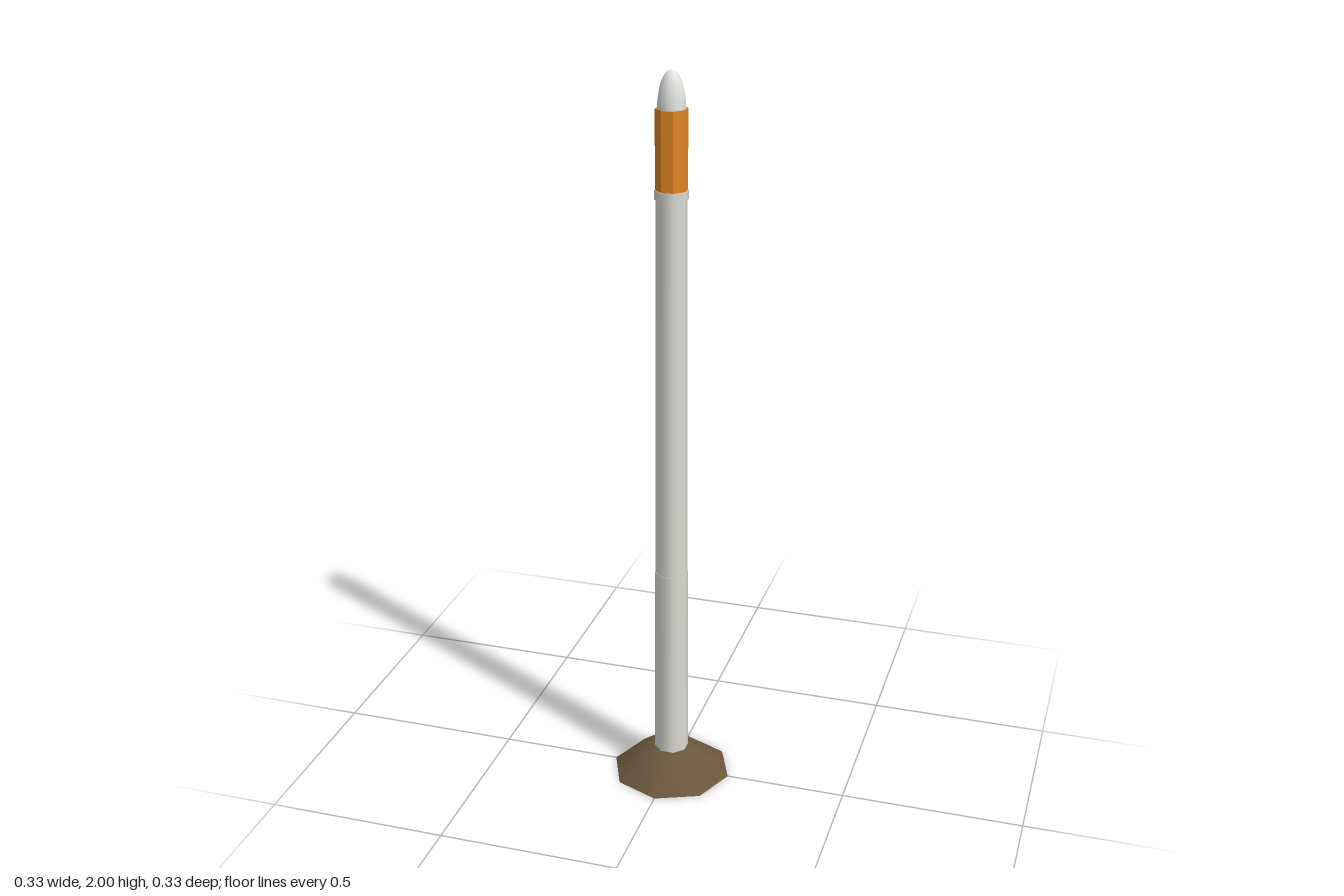
import * as THREE from 'three';

const SIDES = 8;

function material(name, color, extra = {}) {
  const m = new THREE.MeshStandardMaterial({ color, ...extra });
  m.name = name;
  return m;
}

export function createModel() {
  const group = new THREE.Group();
  group.name = 'markerPole';

  const paleGrey = material('paleGrey', 0xdcdcd4);
  const orange = material('orange', 0xdf8620, { flatShading: true });
  const white = material('white', 0xe4e6e2);
  const earth = material('earthBrown', 0x6a573c, { side: THREE.DoubleSide });

  const add = (name, geometry, mat) => {
    const mesh = new THREE.Mesh(geometry, mat);
    mesh.name = name;
    group.add(mesh);
  };

  // Eight-sided section with flats facing the axes, sized by half-width across flats
  const section = (name, topHalf, bottomHalf, y0, y1, mat) => {
    const k = 1 / Math.cos(Math.PI / SIDES);
    const g = new THREE.CylinderGeometry(topHalf * k, bottomHalf * k, y1 - y0, SIDES);
    g.rotateY(Math.PI / SIDES);
    g.translate(0, (y0 + y1) / 2, 0);
    add(name, g, mat);
  };

  // Low mound of earth, open underneath
  const profile = [[0.167, 0], [0.118, 0.038], [0.065, 0.076], [0, 0.08]]
    .map(([r, y]) => new THREE.Vector2(r, y));
  add('mound', new THREE.LatheGeometry(profile, SIDES), earth);

  // Pole in two sections, with a collar beneath the band
  section('lowerPole', 0.042, 0.0445, 0, 0.63, paleGrey);
  section('upperPole', 0.037, 0.041, 0.63, 1.69, paleGrey);
  section('collar', 0.0405, 0.0405, 1.675, 1.7, paleGrey);

  // Coloured band
  section('band', 0.0385, 0.0385, 1.7, 1.905, orange);

  // Pointed dome cap
  const cap = new THREE.SphereGeometry(1, 12, 6, 0, Math.PI * 2, 0, Math.PI / 2);
  cap.scale(0.037, 0.097, 0.037);
  cap.translate(0, 1.903, 0);
  add('cap', cap, white);

  return group;
}
